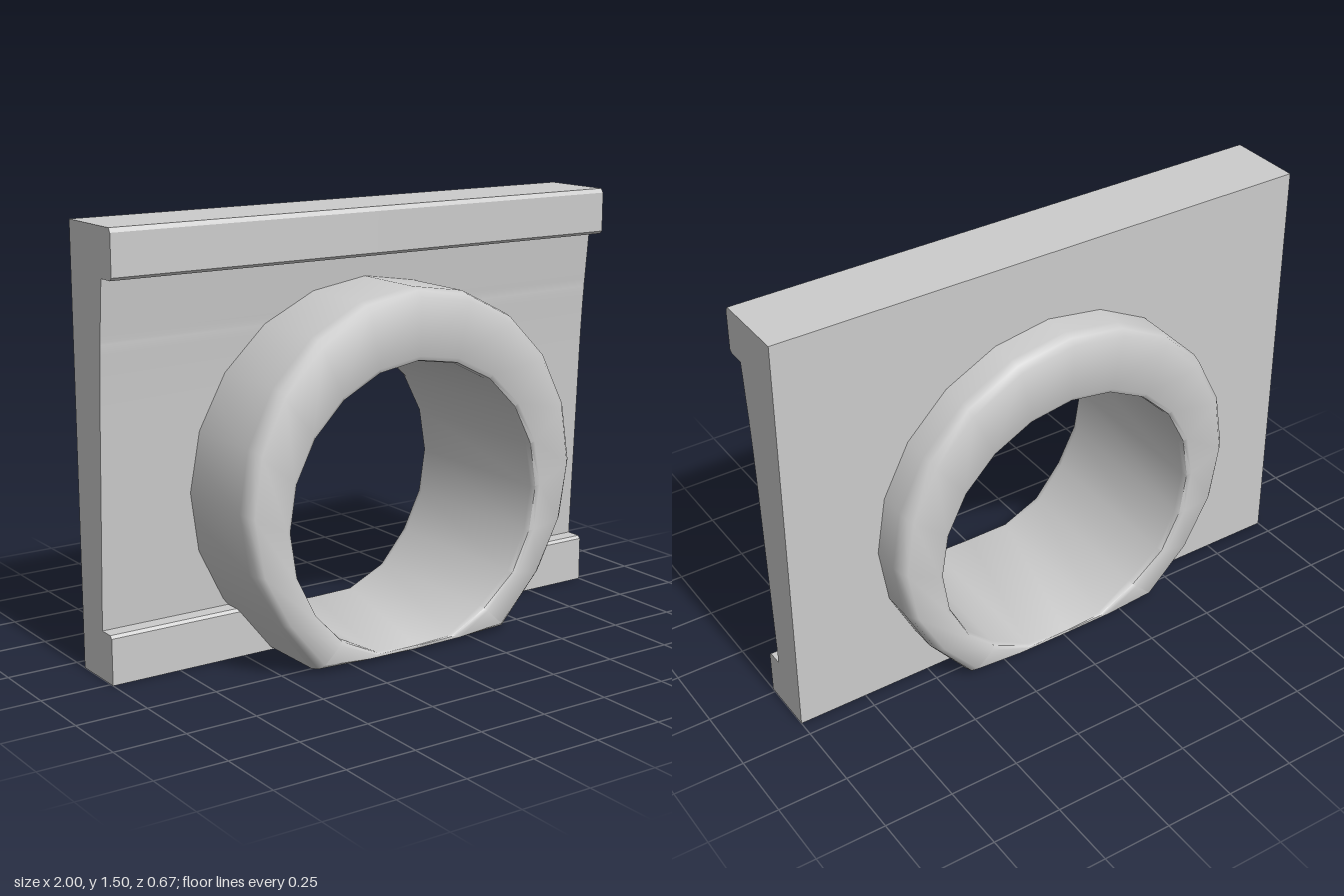
import * as THREE from 'three';
import { toCreasedNormals } from 'three/addons/utils/BufferGeometryUtils.js';

const material = new THREE.MeshStandardMaterial({ color: 0xcccccc });

function meshFrom(positions, crease, name) {
  const geo = new THREE.BufferGeometry();
  geo.setAttribute('position', new THREE.Float32BufferAttribute(positions, 3));
  const mesh = new THREE.Mesh(toCreasedNormals(geo, crease), material);
  mesh.name = name;
  return mesh;
}

// Corners run counter-clockwise seen from outside
function quad(out, a, b, c, d) {
  out.push(...a, ...b, ...c, ...a, ...c, ...d);
}

// Backing plate: channel profile with two lips, opened where the collar passes through
function createPlate() {
  const back = -0.19;
  const rows = [[0, 0.015], [0.16, 0.015], [0.17, 0.005], [0.17, -0.05]];
  const curve = new THREE.CatmullRomCurve3([
    [0.17, -0.05], [0.6, -0.03], [1.05, -0.007], [1.34, 0.02],
  ].map(([y, z]) => new THREE.Vector3(0, y, z)));
  const face = curve.getPoints(24).map((p) => [p.y, p.z]);
  face.push([1.135, -0.001]);
  face.sort((a, b) => a[0] - b[0]);
  rows.push(...face, [1.34, 0.08], [1.35, 0.09], [1.49, 0.09], [1.505, 0.08]);

  // Edge of the opening, kept inside the collar's wall
  const edge = (y) => {
    const x = Math.sqrt(Math.max(0, 0.585 ** 2 - (y - 0.55) ** 2));
    return y < 0.5 ? Math.max(0.36, x) : x;
  };

  const out = [];
  for (const s of [1, -1]) {
    const add = (...pts) => {
      const p = pts.map(([x, y, z]) => [s * x, y, z]);
      quad(out, ...(s > 0 ? p : p.reverse()));
    };
    for (let i = 0; i < rows.length - 1; i++) {
      const [y0, z0] = rows[i];
      const [y1, z1] = rows[i + 1];
      const e0 = edge(y0), e1 = edge(y1);
      add([e0, y0, z0], [1, y0, z0], [1, y1, z1], [e1, y1, z1]);
      if (y1 > y0) {
        add([1, y0, back], [e0, y0, back], [e1, y1, back], [1, y1, back]);
        add([1, y0, z0], [1, y0, back], [1, y1, back], [1, y1, z1]);
      }
    }
    const [yt, zt] = rows[rows.length - 1];
    add([0, yt, zt], [1, yt, zt], [1, yt, back], [0, yt, back]);
    add([0.36, 0, back], [1, 0, back], [1, 0, 0.015], [0.36, 0, 0.015]);
  }
  return meshFrom(out, 0.5, 'backingPlate');
}

// Collar: eccentric 20-sided ring with softened rims and a flat underside
function createCollar() {
  const sides = 20;
  const sections = [];
  for (let k = 0; k < sides; k++) {
    const a = (k / sides) * Math.PI * 2;
    const c = Math.cos(a), s = Math.sin(a);
    const outer = new THREE.Vector2(0.672 * c, 0.59 + 0.672 * s);
    const inner = new THREE.Vector2(0.505 * c, Math.max(0.025, 0.51 + 0.505 * s));
    const low = outer.y < 0.1;
    if (low) outer.y = 0.01;
    const width = outer.distanceTo(inner);
    const t = Math.min(1, width / 0.1);
    const h = low ? 0.32 : 0.335;
    // Half profile: distance in from the outer wall, and z
    const half = [
      [0, h - 0.05 * t], [0.009 * t, h - 0.018 * t], [0.03 * t, h],
      [width - 0.02 * t, h], [width - 0.005 * t, h - 0.008 * t], [width, h - 0.03 * t],
    ];
    const loop = [...half, ...half.map(([d, z]) => [d, -z]).reverse()];
    sections.push(loop.map(([d, z]) => {
      const p = outer.clone().lerp(inner, d / width);
      return [p.x, p.y, z];
    }));
  }
  const out = [];
  for (let k = 0; k < sides; k++) {
    const A = sections[k], B = sections[(k + 1) % sides];
    for (let j = 0; j < A.length; j++) {
      const n = (j + 1) % A.length;
      quad(out, A[j], B[j], B[n], A[n]);
    }
  }
  return meshFrom(out, 0.85, 'collar');
}

export function createModel() {
  const group = new THREE.Group();
  group.name = 'collarPlate';
  group.add(createPlate(), createCollar());
  return group;
}
